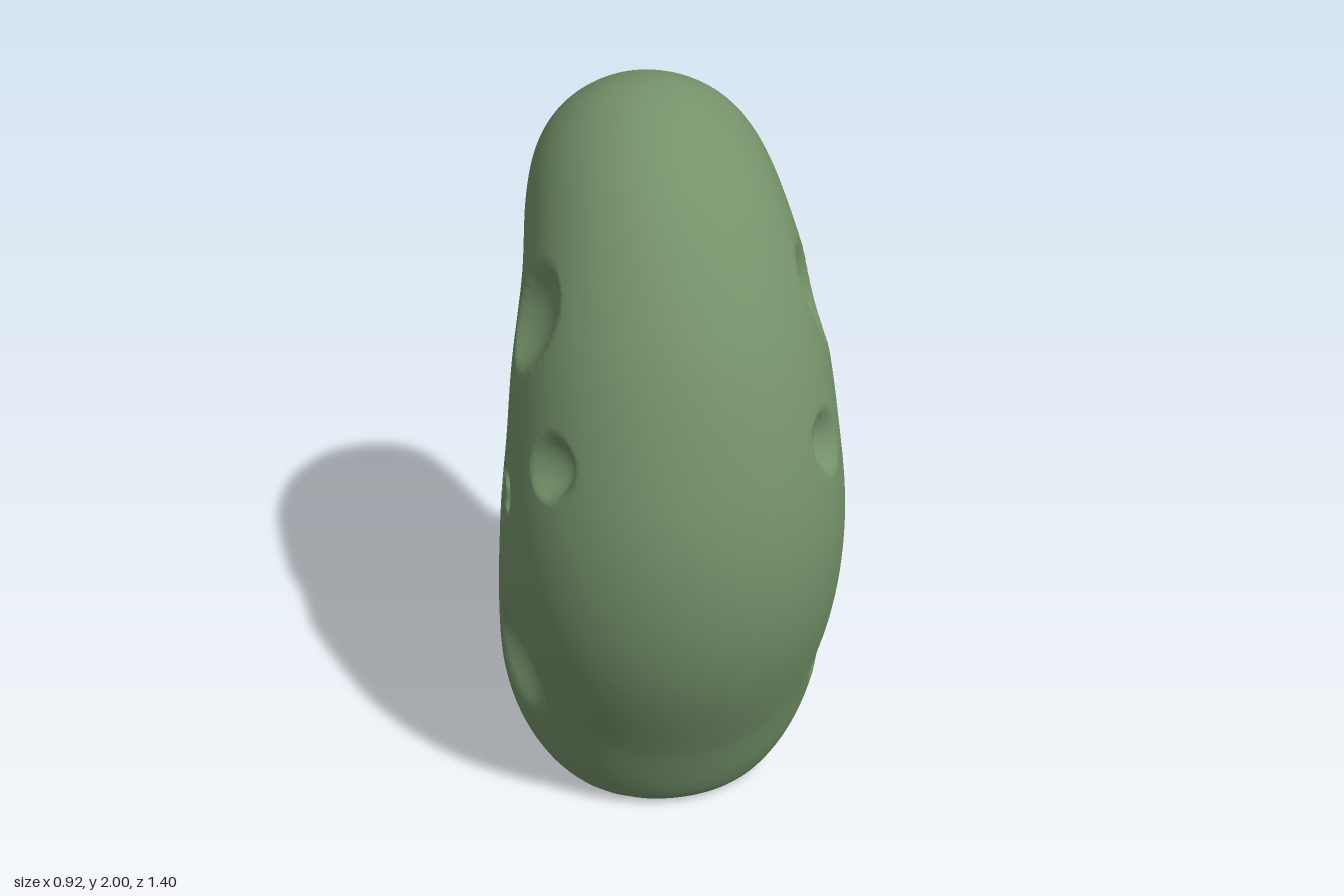
import * as THREE from 'three';

// Stations from upper tip to lower tip: outer z, y, inner z, y, half width
const STATIONS = [
  [-.58, 1.535, -.58, 1.535, 0],
  [-.584, 1.59, -.547, 1.484, .085],
  [-.55, 1.68, -.49, 1.47, .145],
  [-.43, 1.83, -.38, 1.46, .215],
  [-.22, 1.96, -.29, 1.41, .28],
  [.03, 1.995, -.22, 1.33, .325],
  [.33, 1.86, -.175, 1.24, .36],
  [.55, 1.56, -.155, 1.16, .407],
  [.67, 1.2, -.15, 1.09, .435],
  [.70, .9, -.155, 1.02, .455],
  [.65, .6, -.175, .95, .462],
  [.51, .28, -.21, .87, .46],
  [.33, -.05, -.24, .82, .45],
  [-.03, -.2, -.31, .75, .42],
  [-.37, -.06, -.40, .71, .345],
  [-.565, .26, -.49, .72, .25],
  [-.66, .48, -.565, .752, .175],
  [-.698, .67, -.622, .781, .1],
  [-.67, .765, -.67, .765, 0],
];

// Craters on each side: centre z, y, radii, depth
const CRATERS = [
  [.27, 1.515, .105, .14, .06],
  [.485, 1.2, .06, .09, .055],
  [.26, .475, .117, .165, .06],
];

// Face grooves on each side: centre z, y, radius, bend (1 arches up, -1 down), length of straight ends
const GROOVES = [
  [.267, 1.025, .049, 1, .022],
  [-.037, 1.03, .05, 1, .022],
  [.113, .922, .056, -1, 0],
];

const smooth = THREE.MathUtils.smoothstep;

// How far the side is pressed in at a point of the side plane
function dent(z, y) {
  let d = 0;
  for (const [cz, cy, rz, ry, depth] of CRATERS) {
    const r = Math.hypot((z - cz) / rz, (y - cy) / ry);
    d += depth * Math.max(0, 1 - r * r);
  }
  for (const [cz, cy, radius, bend, ends] of GROOVES) {
    const dz = z - cz, dy = (y - cy) * bend;
    const gap = dy > 0
      ? Math.abs(Math.hypot(dz, dy) - radius)
      : Math.hypot(Math.abs(dz) - radius, Math.min(dy + ends, 0));
    d += .034 * (1 - smooth(gap, .002, .023));
  }
  return d;
}

// Crescent swept through rounded sections, cut flat where it stands
function crescentGeometry(rows = 230, cols = 260) {
  const outer = new THREE.CatmullRomCurve3(
    STATIONS.map(s => new THREE.Vector3(s[0], s[1], s[4])), false, 'catmullrom', .5);
  const inner = new THREE.CatmullRomCurve3(
    STATIONS.map(s => new THREE.Vector3(s[2], s[3], 0)), false, 'catmullrom', .5);
  const position = [], index = [];
  for (let i = 0; i <= rows; i++) {
    // finer rows and columns around the face
    const u = i / rows;
    const t = THREE.MathUtils.clamp(u + .6 * Math.sin(2 * Math.PI * u) / (2 * Math.PI), 0, 1);
    const o = outer.getPoint(t), n = inner.getPoint(t);
    // the lower horn narrows to a soft ridge at its back
    const ridge = 1 + .3 * smooth(t * (STATIONS.length - 1), 13, 15.5);
    for (let j = 0; j < cols; j++) {
      const a = j / cols * Math.PI * 2;
      const angle = a - .2 * Math.sin(2 * a);
      const s = .5 + .5 * Math.sin(angle);
      const z = n.x + (o.x - n.x) * s;
      const y = n.y + (o.y - n.y) * s;
      const c = Math.cos(angle);
      const width = Math.max(o.z, 0) * Math.abs(c) ** (s > .5 ? ridge : .88);
      const x = Math.sign(c) * Math.max(width - dent(z, y), 0);
      // flat base with a softened edge
      position.push(x, (y + Math.sqrt(y * y + .0006)) / 2, z);
      if (i < rows) {
        const p = i * cols + j, q = i * cols + (j + 1) % cols;
        index.push(p, q, p + cols, q, q + cols, p + cols);
      }
    }
  }
  const geometry = new THREE.BufferGeometry();
  geometry.setAttribute('position', new THREE.Float32BufferAttribute(position, 3));
  geometry.setIndex(index);
  geometry.computeVertexNormals();
  return geometry;
}

export function createModel() {
  const group = new THREE.Group();
  group.name = 'crescentMoon';
  const moon = new THREE.Mesh(
    crescentGeometry(), new THREE.MeshStandardMaterial({ color: 0x76936b }));
  moon.name = 'moonBody';
  group.add(moon);
  return group;
}
